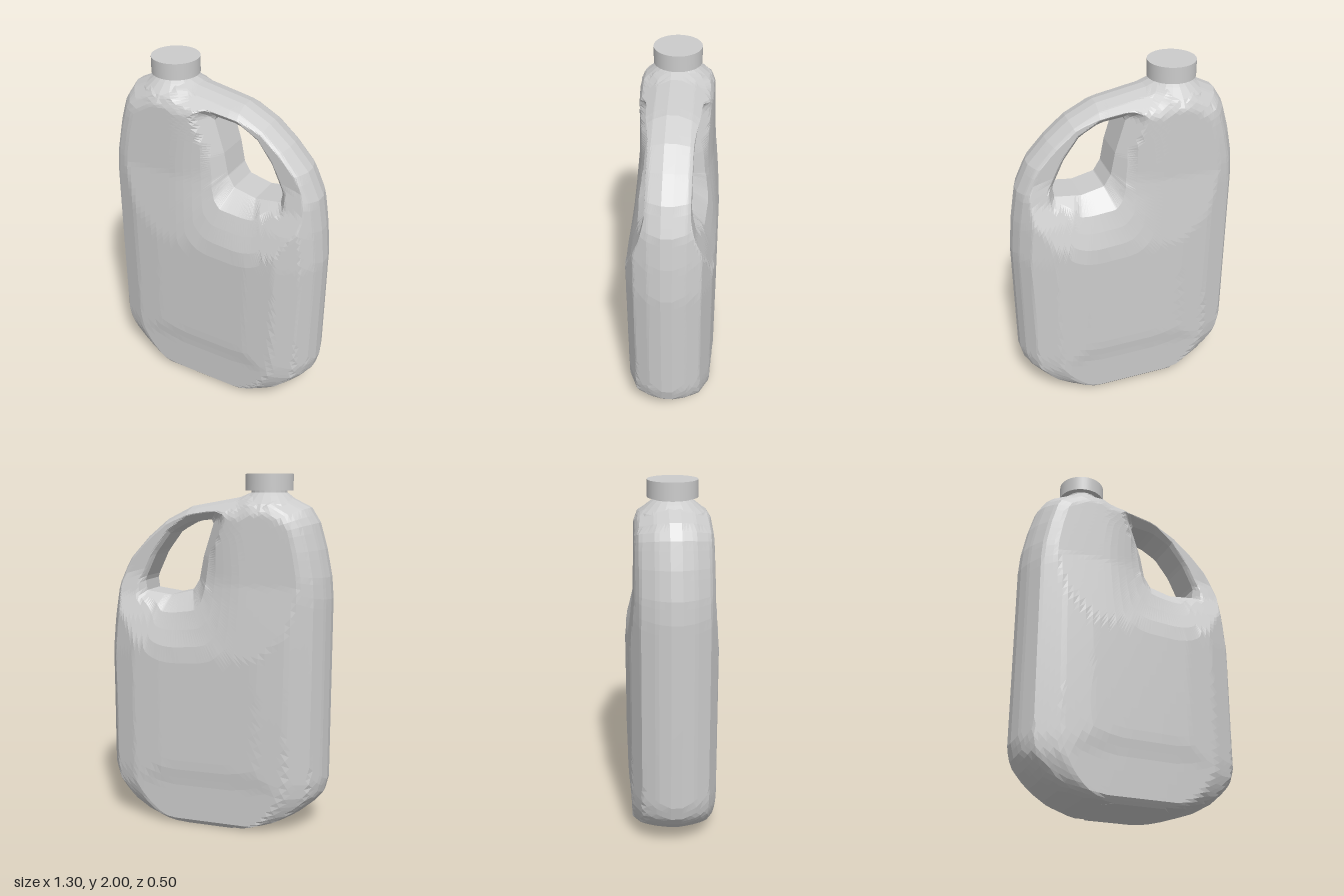
import * as THREE from 'three';

const V = (x, y) => new THREE.Vector2(x, y);

// Half width of the rounded base by height: [y, half width]
const BASE = [[0, 0.2], [0.015, 0.3], [0.05, 0.42], [0.1, 0.51], [0.16, 0.58], [0.22, 0.63], [0.3, 0.65]];
// Side outline above the base, counter-clockwise from lower +x
const UPPER = [[0.65, 1.0], [0.63, 1.2], [0.6, 1.38], [0.53, 1.53], [0.42, 1.65], [0.3, 1.75], [0.15, 1.825],
  [-0.13, 1.875], [-0.2, 1.905], [-0.36, 1.905], [-0.4, 1.88], [-0.52, 1.82], [-0.57, 1.74], [-0.61, 1.6],
  [-0.64, 1.45], [-0.65, 1.33]];
const HOLE = [[0.42, 1.41], [0.35, 1.56], [0.26, 1.68], [0.15, 1.74], [0, 1.755], [0.03, 1.66], [0.065, 1.55],
  [0.09, 1.42], [0.13, 1.355], [0.26, 1.325], [0.41, 1.345]];
const GRIP_CENTRE = V(0.2, 1.53);

// Half depths: main tank by height, handle side by height, rounding by distance from the outline
const TANK = [[0, 0.2], [0.03, 0.23], [0.25, 0.238], [0.35, 0.25], [1.0, 0.25], [1.4, 0.21], [1.83, 0.2], [1.92, 0.12]];
const GRIP = [[0, 0.2], [0.03, 0.23], [0.25, 0.238], [0.35, 0.25], [1.02, 0.25], [1.2, 0.195], [1.33, 0.145], [1.45, 0.118], [2, 0.118]];
const EDGE = [[0, 0.03], [0.02, 0.1], [0.07, 0.18], [0.2, 0.235], [0.42, 0.255]];

function lerpTable(table, v) {
  if (v <= table[0][0]) return table[0][1];
  for (let i = 1; i < table.length; i++) {
    const [a, p] = table[i - 1], [b, q] = table[i];
    if (v <= b) return p + (q - p) * (v - a) / (b - a);
  }
  return table[table.length - 1][1];
}

function distanceTo(loop, p) {
  let best = Infinity;
  loop.forEach((a, i) => {
    const ab = loop[(i + 1) % loop.length].clone().sub(a);
    const ap = p.clone().sub(a);
    const t = THREE.MathUtils.clamp(ap.dot(ab) / ab.lengthSq(), 0, 1);
    best = Math.min(best, ap.distanceTo(ab.multiplyScalar(t)));
  });
  return best;
}

// Where the ray from the grip centre towards a point crosses the hole
function holePoint(hole, target) {
  const d = target.clone().sub(GRIP_CENTRE);
  for (let i = 0; i < hole.length; i++) {
    const a = hole[i].clone().sub(GRIP_CENTRE);
    const e = hole[(i + 1) % hole.length].clone().sub(hole[i]);
    const den = d.cross(e);
    const t = a.cross(e) / den, s = a.cross(d) / den;
    if (t > 0 && s >= -1e-9 && s <= 1 + 1e-9) return GRIP_CENTRE.clone().addScaledVector(d, t);
  }
  return GRIP_CENTRE.clone();
}

function bodyGeometry() {
  const outline = [
    ...BASE.map(([y, w]) => V(w, y)),
    ...UPPER.map(([x, y]) => V(x, y)),
    ...BASE.slice().reverse().map(([y, w]) => V(-w, y)),
  ];
  const hole = HOLE.map(([x, y]) => V(x, y));

  const halfDepth = (p) => {
    const w = THREE.MathUtils.smoothstep(p.x, -0.2, 0.3);
    const full = THREE.MathUtils.lerp(lerpTable(TANK, p.y), lerpTable(GRIP, p.y), w);
    // the base keeps its plan section as it narrows, higher up the rim is rounded evenly
    const across = 0.65 * Math.max(0, 1 - Math.abs(p.x) / lerpTable(BASE, p.y));
    const k = THREE.MathUtils.smoothstep(p.y, 0.3, 0.6);
    const d = THREE.MathUtils.lerp(across, distanceTo(outline, p), k);
    return Math.min(full, lerpTable(EDGE, d), 0.095 + 1.2 * distanceTo(hole, p));
  };

  // Subdivide the outline
  const rim = [];
  outline.forEach((a, i) => {
    const b = outline[(i + 1) % outline.length];
    const n = Math.ceil(a.distanceTo(b) / 0.06);
    for (let s = 0; s < n; s++) rim.push(a.clone().lerp(b, s / n));
  });

  // Each ray from hole to rim gives a closed section: front outwards, back inwards
  const M = 26, K = 2 * (M + 1), pos = [], index = [];
  rim.forEach((outer, i) => {
    const inner = holePoint(hole, outer);
    const front = [];
    for (let j = 0; j <= M; j++) {
      const p = inner.clone().lerp(outer, 1 - (1 - j / M) ** 2);
      front.push([p.x, p.y, halfDepth(p)]);
    }
    front.forEach((p) => pos.push(...p));
    front.reverse().forEach(([x, y, z]) => pos.push(x, y, -z));
    const next = (i + 1) % rim.length;
    for (let k = 0; k < K; k++) {
      const l = (k + 1) % K;
      const a = i * K + k, b = i * K + l, c = next * K + l, d = next * K + k;
      index.push(a, b, c, a, c, d);
    }
  });
  const g = new THREE.BufferGeometry();
  g.setAttribute('position', new THREE.Float32BufferAttribute(pos, 3));
  g.setIndex(index);
  g.computeVertexNormals();
  return g;
}

export function createModel() {
  const group = new THREE.Group();
  const flat = new THREE.MeshStandardMaterial({ color: 0xcccccc, flatShading: true });
  const smooth = new THREE.MeshStandardMaterial({ color: 0xcccccc });
  const add = (name, geometry, material, x = 0, y = 0) => {
    const mesh = new THREE.Mesh(geometry, material);
    mesh.name = name;
    mesh.position.set(x, y, 0);
    group.add(mesh);
  };

  // Tank and handle in one piece
  add('jugBody', bodyGeometry(), flat);

  // Sloping shoulder up to the neck
  const neck = [V(0.2, 1.8), V(0.175, 1.84), V(0.12, 1.885), V(0.1, 1.9), V(0.1, 1.925)];
  add('neck', new THREE.LatheGeometry(neck, 20), flat, -0.285);

  // Screw cap
  add('cap', new THREE.CylinderGeometry(0.132, 0.132, 0.09, 40), smooth, -0.285, 1.955);
  return group;
}
